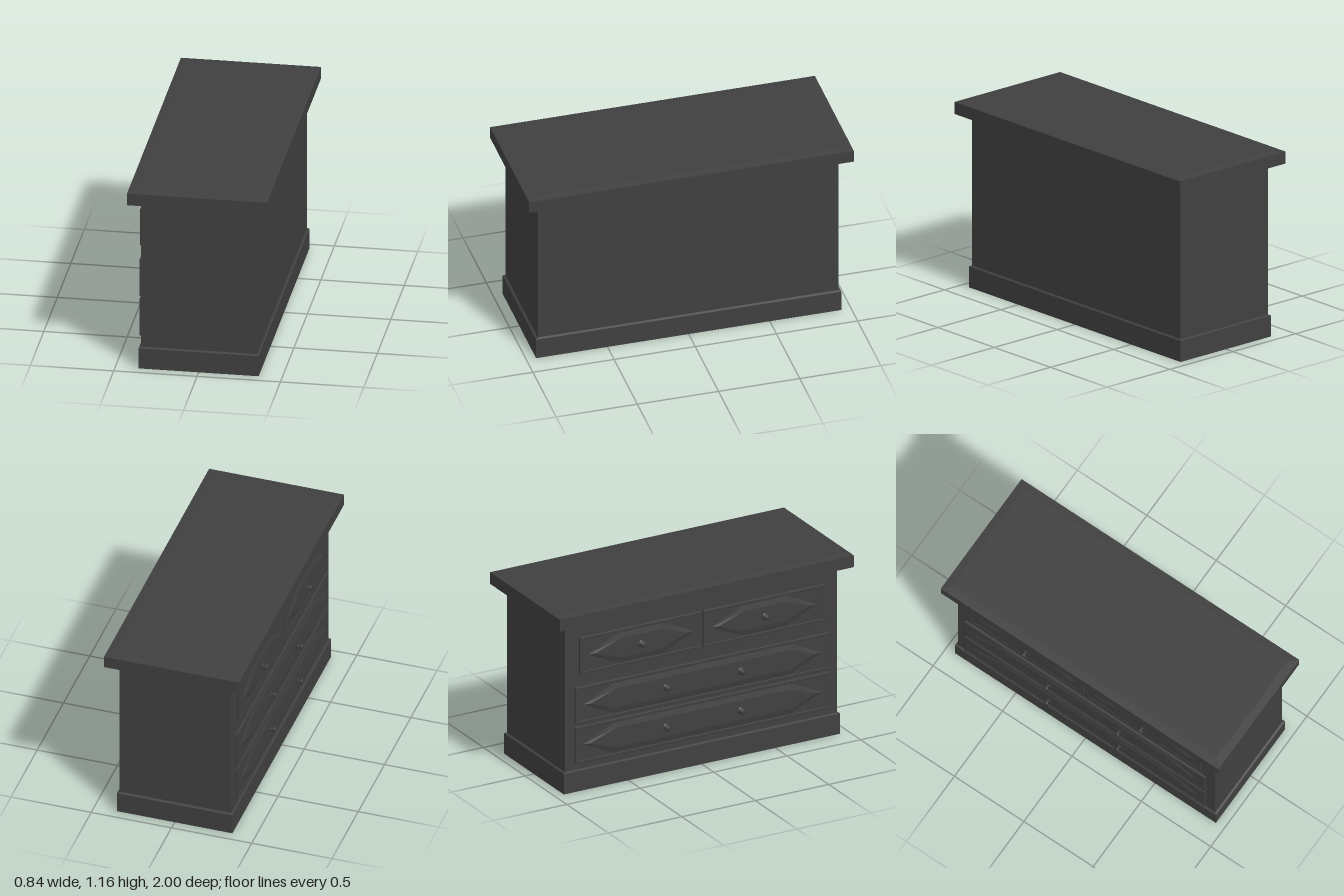
import * as THREE from 'three';

const material = new THREE.MeshStandardMaterial({ color: 0x404040 });
const flatMaterial = new THREE.MeshStandardMaterial({ color: 0x404040, flatShading: true });

function add(parent, geometry, name, mat = flatMaterial) {
  const mesh = new THREE.Mesh(geometry, mat);
  mesh.name = name;
  parent.add(mesh);
  return mesh;
}

// Box standing on y0 whose upper face is drawn in by `inset`
function taperedBox(w, d, y0, y1, inset = 0) {
  const g = new THREE.BoxGeometry(w, y1 - y0, d).translate(0, (y0 + y1) / 2, 0);
  const p = g.attributes.position;
  for (let i = 0; i < p.count; i++) {
    if (p.getY(i) > (y0 + y1) / 2) {
      p.setX(i, p.getX(i) - Math.sign(p.getX(i)) * inset);
      p.setZ(i, p.getZ(i) - Math.sign(p.getZ(i)) * inset);
    }
  }
  g.computeVertexNormals();
  return g;
}

function rectPoints(w, h) {
  return [[-w, -h], [w, -h], [w, h], [-w, h]].map(([x, y]) => new THREE.Vector2(x / 2, y / 2));
}

// Turned knob with a rosette, neck and rounded head
function makeKnob() {
  const profile = [[0, 0], [0.022, 0], [0.022, 0.004], [0.010, 0.007], [0.008, 0.015],
    [0.010, 0.019], [0.017, 0.023], [0.0185, 0.029], [0.015, 0.034], [0.008, 0.037], [0, 0.037]];
  const g = new THREE.LatheGeometry(profile.map(([r, y]) => new THREE.Vector2(r, y)), 20);
  return g.rotateX(Math.PI / 2);
}

// Drawer front facing local +z: backing, panel, rim and raised six-sided field
function makeDrawer(name, width, height, knobs) {
  const drawer = new THREE.Group();
  drawer.name = name;

  add(drawer, new THREE.BoxGeometry(width - 0.04, height - 0.03, 0.01).translate(0, 0, 0.003), 'drawerBacking');
  add(drawer, new THREE.BoxGeometry(width, height, 0.012).translate(0, 0, 0.012), 'drawerPanel');

  const rim = new THREE.Shape(rectPoints(width - 0.004, height - 0.004));
  rim.holes.push(new THREE.Path(rectPoints(width - 0.03, height - 0.03)));
  const rimGeometry = new THREE.ExtrudeGeometry(rim, {
    depth: 0.003, bevelEnabled: true, bevelSize: 0.002, bevelThickness: 0.001, bevelSegments: 1,
  });
  add(drawer, rimGeometry.translate(0, 0, 0.017), 'drawerRim');

  const a = width / 2 - 0.1;
  const b = width / 2 - 0.27;
  const c = 0.062;
  const field = new THREE.Shape(
    [[-a, 0], [-b, -c], [b, -c], [a, 0], [b, c], [-b, c]].map(([x, y]) => new THREE.Vector2(x, y)));
  const fieldGeometry = new THREE.ExtrudeGeometry(field, {
    depth: 0.001, bevelEnabled: true, bevelSize: 0.034, bevelThickness: 0.008, bevelSegments: 1,
  });
  add(drawer, fieldGeometry.translate(0, 0, 0.017), 'raisedField');

  for (const x of knobs) add(drawer, makeKnob(), 'drawerKnob', material).position.set(x, 0, 0.026);
  return drawer;
}

export function createModel() {
  const chest = new THREE.Group();
  chest.name = 'chestOfDrawers';

  // Plinth with a chamfered upper edge
  add(chest, taperedBox(0.72, 1.88, 0, 0.13), 'plinth');
  add(chest, taperedBox(0.72, 1.88, 0.13, 0.137, 0.012), 'plinthChamfer');

  // Carcass and the small moulding below the top
  add(chest, taperedBox(0.694, 1.852, 0.13, 1.08), 'carcass');
  add(chest, taperedBox(0.706, 1.864, 1.07, 1.082), 'topMoulding');

  // Overhanging top with a shallow raised surface
  add(chest, taperedBox(0.84, 2, 1.08, 1.155), 'topSlab');
  add(chest, taperedBox(0.84, 2, 1.155, 1.16, 0.05), 'topSurface');

  // Drawers along the -x side: two small above two wide
  const drawers = new THREE.Group();
  drawers.name = 'drawers';
  drawers.position.x = -0.347;
  drawers.rotation.y = -Math.PI / 2;
  for (const side of [-1, 1]) {
    const small = makeDrawer('smallDrawer', 0.826, 0.235, [0]);
    small.position.set(side * 0.42, 0.868, 0);
    drawers.add(small);
  }
  for (const y of [0.552, 0.298]) {
    const wide = makeDrawer('wideDrawer', 1.73, 0.235, [-0.255, 0.255]);
    wide.position.y = y;
    drawers.add(wide);
  }
  chest.add(drawers);
  return chest;
}
